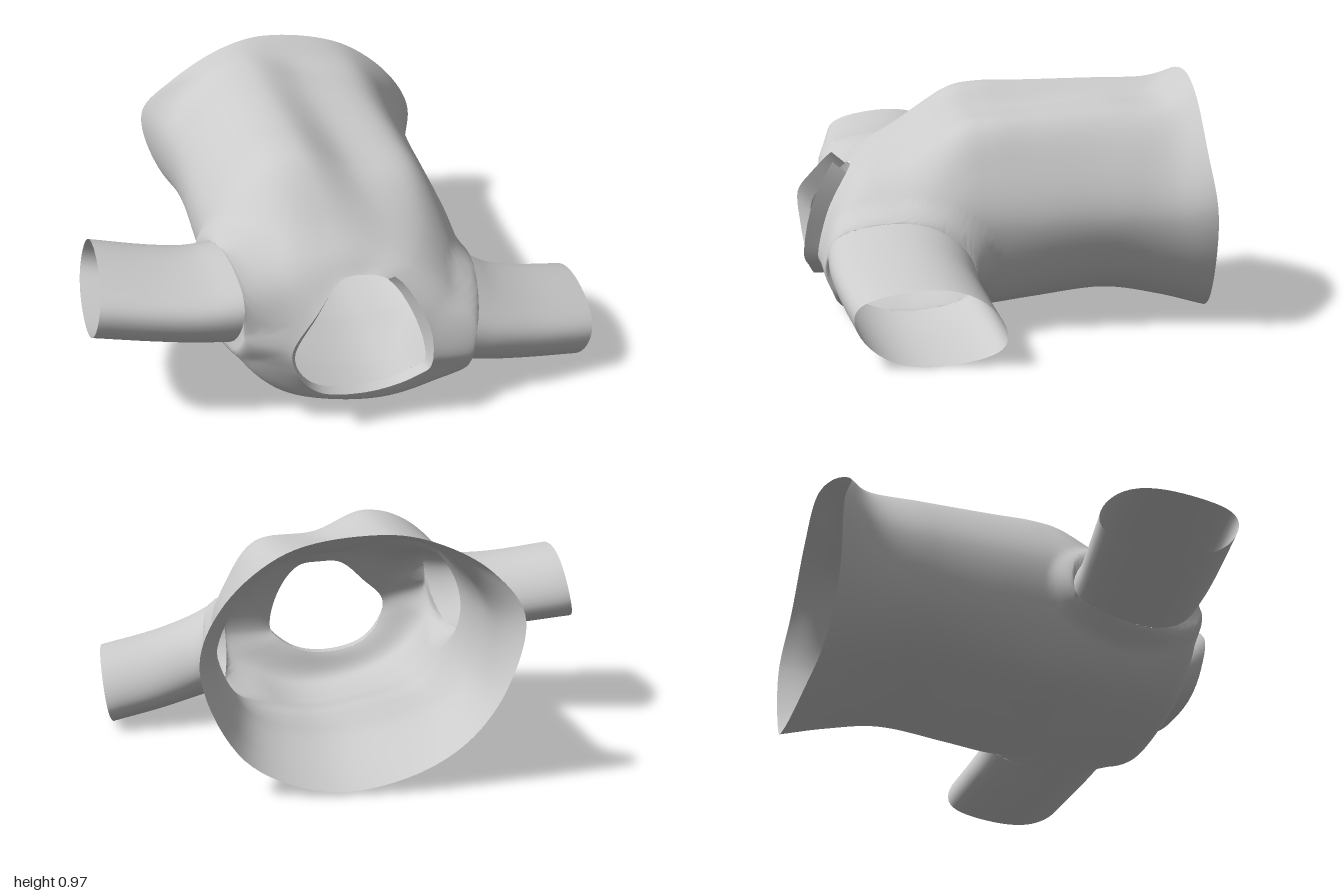
import * as THREE from 'three';

const V = (p) => new THREE.Vector3(...p);
const { smoothstep, lerp } = THREE.MathUtils;

// Surface through a grid of points: rows[i][j]; optional closing around; cells between cut points are left out
function gridMesh(name, rows, closed, cut = new Set()) {
  const n = rows[0].length, pos = [], idx = [];
  rows.forEach((r) => r.forEach((p) => pos.push(p.x, p.y, p.z)));
  for (let i = 0; i < rows.length - 1; i++) {
    for (let j = 0; j < (closed ? n : n - 1); j++) {
      const k = (j + 1) % n;
      if ([rows[i][j], rows[i][k], rows[i + 1][j], rows[i + 1][k]].every((p) => cut.has(p))) continue;
      const a = i * n + j, b = i * n + k, c = a + n, d = b + n;
      idx.push(a, b, c, b, d, c);
    }
  }
  const g = new THREE.BufferGeometry();
  g.setAttribute('position', new THREE.Float32BufferAttribute(pos, 3));
  g.setIndex(idx);
  g.computeVertexNormals();
  const mesh = new THREE.Mesh(g, new THREE.MeshStandardMaterial({ color: 0xcccccc, side: THREE.DoubleSide }));
  mesh.name = name;
  return mesh;
}

// Smooth closed ring sampled from a few control points
function ring(points, count = 108) {
  const curve = new THREE.CatmullRomCurve3(points, true);
  return Array.from({ length: count }, (_, j) => curve.getPoint(j / count));
}

// Smooth loft through several rings
function loftRows(rings, steps) {
  const rows = Array.from({ length: steps + 1 }, () => []);
  for (let j = 0; j < rings[0].length; j++) {
    const curve = new THREE.CatmullRomCurve3(rings.map((r) => r[j]));
    rows.forEach((row, i) => row.push(curve.getPoint(i / steps)));
  }
  return rows;
}

// Cross-sections run counter-clockwise from +x as seen from the front
const HEM = [[0.61, 0.48, -0.77], [0.53, 0.7, -0.745], [0.29, 0.905, -0.75], [-0.04, 0.97, -0.77],
  [-0.24, 0.94, -0.75], [-0.47, 0.82, -0.725], [-0.59, 0.66, -0.775], [-0.53, 0.38, -0.77],
  [-0.38, 0.18, -0.78], [-0.15, 0.06, -0.81], [0.15, 0.02, -0.82], [0.45, 0.14, -0.79]];
const BODY = [[0.53, 0.42], [0.46, 0.65], [0.35, 0.8], [0.1, 0.835], [-0.1, 0.92], [-0.28, 0.87],
  [-0.48, 0.62], [-0.47, 0.36], [-0.35, 0.18], [-0.12, 0.1], [0.15, 0.06], [0.42, 0.14]];
const CHEST = [[0.55, 0.28], [0.5, 0.45], [0.34, 0.63], [0.14, 0.7], [-0.05, 0.745], [-0.24, 0.735],
  [-0.5, 0.54], [-0.47, 0.35], [-0.34, 0.17], [-0.12, 0.07], [0.15, 0.03], [0.4, 0.12]];
const SHOULDER = [[0.5, 0.26, 0.68], [0.43, 0.43, 0.64], [0.25, 0.6, 0.57], [0.1, 0.65, 0.54],
  [-0.04, 0.67, 0.54], [-0.22, 0.635, 0.58], [-0.47, 0.52, 0.68], [-0.45, 0.36, 0.67],
  [-0.31, 0.18, 0.66], [-0.12, 0.09, 0.65], [0.14, 0.06, 0.65], [0.38, 0.14, 0.66]];
const NECK = [[0.25, 0.28, 0.74], [0.22, 0.45, 0.7], [0.13, 0.59, 0.62], [0.04, 0.61, 0.6],
  [-0.05, 0.605, 0.61], [-0.165, 0.505, 0.69], [-0.26, 0.4, 0.75], [-0.24, 0.3, 0.74],
  [-0.16, 0.215, 0.72], [0, 0.175, 0.7], [0.13, 0.19, 0.7], [0.21, 0.235, 0.72]];

const at = (shape, z) => shape.map(([x, y]) => V([x, y, z]));

// Trunk section at z, rounded towards the hem shape, with its underside raised
const trunk = (z, round, lift) => BODY.map(([x, y], i) => V([
  lerp(x, HEM[i][0] * 0.88, round),
  lerp(y, HEM[i][1], round) + lift * (1 - smoothstep(y, 0.1, 0.4)), z]));

// Sleeve stations: x, centre y, half height, centre z, half depth, backward lean of the ring
const SLEEVES = {
  leftSleeve: [[0.51, 0.28, 0.175, 0.43, 0.28, 0.05], [0.6, 0.245, 0.16, 0.425, 0.28, 0.03],
    [0.75, 0.2, 0.15, 0.4, 0.28, 0.01], [0.97, 0.152, 0.148, 0.365, 0.275, 0]],
  rightSleeve: [[-0.49, 0.51, 0.165, 0.43, 0.28, -0.045], [-0.6, 0.51, 0.152, 0.42, 0.28, -0.03],
    [-0.75, 0.525, 0.147, 0.4, 0.28, -0.01], [-0.97, 0.56, 0.15, 0.37, 0.28, 0]],
};

// Point on a sleeve ring, its front edge a little raised; angle 0 is the top, a quarter turn the front
function sleevePoint([x, cy, ry, cz, rz, lean], a) {
  const c = Math.cos(a), s = Math.sin(a);
  return V([x + 0.03 * c - lean * s, cy + ry * c + 0.04 * s ** 3, cz + rz * s]);
}

function sleeve(name, stations) {
  const turn = Math.PI * 2 * Math.sign(stations[0][0]);
  const rings = stations.map((st) => Array.from({ length: 48 }, (_, j) => sleevePoint(st, (j / 48) * turn)));
  return gridMesh(name, loftRows(rings, 12), true);
}

// Draw the body out to each sleeve root and mark the points inside the armholes
function shapeArmholes(rows) {
  const cut = new Set();
  for (const p of rows.flat()) {
    const root = (p.x > 0 ? SLEEVES.leftSleeve : SLEEVES.rightSleeve)[0];
    const u = (p.y - root[1]) / root[2], v = (p.z - root[3]) / root[4];
    const r = Math.hypot(u, v), edge = sleevePoint(root, Math.atan2(v, u));
    const pull = (1 - smoothstep(r, 1, 1.35)) * smoothstep(Math.abs(p.x), 0.27, 0.4);
    if (r < 1) p.lerp(edge, pull);
    else p.x = lerp(p.x, edge.x, pull);
    if (r < 1 && pull > 0.99) cut.add(p);
  }
  return cut;
}

export function createModel() {
  const group = new THREE.Group();
  group.name = 'shirt';

  // Body: flared hem, straight trunk, slope down to the neck opening
  const flare = HEM.map(([x, y], i) => V([lerp(x, BODY[i][0], 0.68), lerp(y, BODY[i][1], 0.6) + (y < 0.2 ? 0.03 : 0), -0.62]));
  const upper = BODY.map(([x, y], i) => V([lerp(x, CHEST[i][0], 0.15), lerp(y, CHEST[i][1], 0.13), 0.19]));
  const sections = [HEM.map(V), flare, trunk(-0.4, 0.3, 0.06), trunk(-0.1, 0.1, 0.025), at(BODY, 0.08), upper,
    at(CHEST, 0.41), SHOULDER.map(V), NECK.map(V)];
  const rows = loftRows(sections.map((s) => ring(s)), 108);
  group.add(gridMesh('body', rows, true, shapeArmholes(rows)));

  // Sleeves: flattened open tubes, one higher than the other
  for (const [name, stations] of Object.entries(SLEEVES)) group.add(sleeve(name, stations));

  // Collar: standing band around the neck, open at the top
  const neck = new THREE.CatmullRomCurve3(NECK.map(V), true);
  const inner = [], outer = [];
  for (let i = 0; i <= 48; i++) {
    const p = neck.getPoint(((4.1 + (9.9 * i) / 48) / 12) % 1);
    const lift = smoothstep(p.y, 0.17, 0.4);
    inner.push(p);
    outer.push(V([p.x * (1 + 0.09 * lift), p.y + 0.045 * lift * lift, p.z + 0.055]));
  }
  group.add(gridMesh('collar', [inner, outer], false));
  return group;
}
